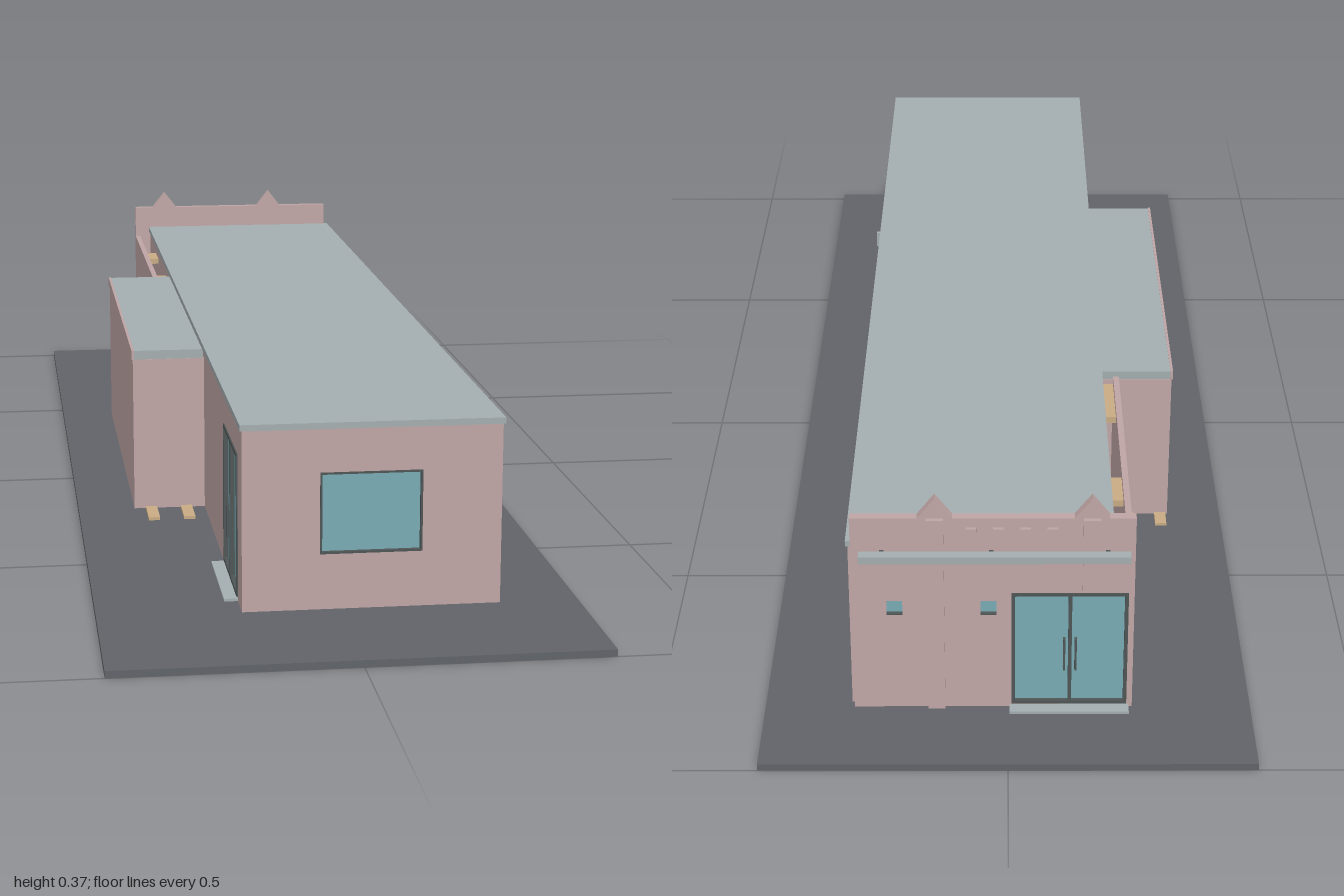
import * as THREE from 'three';

const mat = (name, color, extra = {}) => {
  const m = new THREE.MeshStandardMaterial({ color, ...extra });
  m.name = name;
  return m;
};

export function createModel() {
  const model = new THREE.Group();
  model.name = 'longBuilding';
  const wall = mat('pinkWall', 0xbfa5a5);
  const roof = mat('greyRoof', 0xa3adaf);
  const ground = mat('darkGround', 0x606368);
  const glass = mat('blueGlass', 0x78aab4);
  const frame = mat('darkFrame', 0x4e5555);
  const lintel = mat('brownLintel', 0x8f6a50);
  const tan = mat('tanTimber', 0xc8ab84);

  const box = (name, m, x0, x1, y0, y1, z0, z1) => {
    const mesh = new THREE.Mesh(new THREE.BoxGeometry(x1 - x0, y1 - y0, z1 - z0), m);
    mesh.position.set((x0 + x1) / 2, (y0 + y1) / 2, (z0 + z1) / 2);
    mesh.name = name;
    model.add(mesh);
    return mesh;
  };

  // Flat wall with rectangular openings [u0, u1, v0, v1]
  const panel = (name, outline, holes, depth) => {
    const shape = new THREE.Shape(outline.map(p => new THREE.Vector2(...p)));
    for (const [a, b, c, d] of holes) {
      shape.holes.push(new THREE.Path([[a, c], [a, d], [b, d], [b, c]].map(p => new THREE.Vector2(...p))));
    }
    const mesh = new THREE.Mesh(new THREE.ExtrudeGeometry(shape, { depth, bevelEnabled: false }), wall);
    mesh.name = name;
    model.add(mesh);
    return mesh;
  };
  const rect = (a, b, c, d) => [[a, c], [b, c], [b, d], [a, d]];

  const Y0 = 0.026, EAVE = 0.285;

  // Ground slab, floor and main roof
  box('ground', ground, -0.345, 0.345, 0, 0.01, -1, 1);
  box('floor', wall, -0.144, 0.219, Y0, 0.029, -0.875, 0.829);
  box('mainRoof', roof, -0.148, 0.223, EAVE, 0.294, -0.878, 0.832);

  // Right wall with seven recessed windows
  const windows = [[0.63, 0.77], [0.345, 0.51], [0.13, 0.265], [-0.11, 0.03],
    [-0.35, -0.22], [-0.585, -0.45], [-0.84, -0.71]];
  const right = panel('rightWall', rect(-0.875, 0.83, Y0, EAVE),
    windows.map(([a, b]) => [a, b, 0.1, 0.23]), 0.012);
  right.rotation.y = -Math.PI / 2;
  right.position.x = 0.22;
  for (const [a, b] of windows) {
    box('sideGlass', glass, 0.21, 0.215, 0.1, 0.23, a, b);
    box('windowLintel', lintel, 0.215, 0.221, 0.226, 0.231, a, b);
  }
  box('wallLamp', roof, 0.22, 0.232, 0.245, 0.27, 0.212, 0.22);

  // Front wall and framed window
  const front = panel('frontWall', rect(-0.145, 0.22, Y0, EAVE), [[-0.036, 0.108, 0.106, 0.223]], 0.012);
  front.position.z = 0.818;
  box('frontGlass', glass, -0.036, 0.108, 0.106, 0.223, 0.82, 0.825);
  for (const x of [-0.036, 0.105]) box('frontFrameSide', frame, x, x + 0.003, 0.106, 0.223, 0.825, 0.831);
  for (const y of [0.106, 0.22]) box('frontFrameRail', frame, -0.036, 0.108, y, y + 0.003, 0.825, 0.831);

  // Left wall with glazed double door and threshold
  const left = panel('leftWall', rect(-0.875, 0.83, Y0, EAVE), [[0.6, 0.78, 0.032, 0.24]], 0.012);
  left.rotation.y = -Math.PI / 2;
  left.position.x = -0.133;
  box('sideDoorGlass', glass, -0.14, -0.136, 0.032, 0.24, 0.6, 0.78);
  for (const z of [0.6, 0.687, 0.774]) box('sideDoorPost', frame, -0.147, -0.139, 0.032, 0.24, z, z + 0.006);
  for (const y of [0.032, 0.235]) box('sideDoorRail', frame, -0.147, -0.139, y, y + 0.005, 0.6, 0.78);
  box('sideDoorHandle', frame, -0.151, -0.147, 0.09, 0.14, 0.68, 0.684);
  box('sideThreshold', roof, -0.165, -0.145, Y0, 0.03, 0.6, 0.78);

  // Side extension with grey flat roof
  box('extensionWalls', wall, -0.258, -0.145, Y0, 0.27, -0.355, 0.29);
  box('extensionRoof', roof, -0.258, -0.146, 0.27, 0.284, -0.354, 0.289);
  box('extensionEdge', wall, -0.26, -0.256, 0.27, 0.285, -0.355, 0.291);

  // Outer rear side wall with timbers in the gap, and timbers at the extension foot
  box('rearSideWall', wall, -0.175, -0.166, Y0, 0.275, -0.875, -0.355);
  for (const [a, b] of [[-0.72, -0.655], [-0.47, -0.36]]) box('gapTimber', tan, -0.166, -0.145, 0.255, 0.265, a, b);
  for (const x of [-0.24, -0.184]) box('frontFootTimber', tan, x, x + 0.018, 0.024, 0.029, 0.28, 0.355);
  for (const x of [-0.255, -0.203]) box('rearFootTimber', tan, x, x + 0.018, 0.024, 0.029, -0.39, -0.345);

  // Rear facade with parapet and two pointed peaks
  const peaks = [0.1, -0.115];
  const outline = [[-0.175, Y0], [0.216, Y0], [0.216, 0.334]];
  for (const x of peaks) outline.push([x + 0.024, 0.334], [x, 0.365], [x - 0.024, 0.334]);
  outline.push([-0.175, 0.334]);
  const portholes = [[0.146, 0.168, 0.18, 0.202], [0.016, 0.038, 0.18, 0.202]];
  const door = [-0.167, -0.005, 0.032, 0.215];
  const rear = panel('rearFacade', outline, [door, ...portholes], 0.014);
  rear.position.z = -0.886;
  for (const [a, b, c, d] of [door, ...portholes]) box('rearGlass', glass, a, b, c, d, -0.882, -0.878);
  for (const [a, b, c, d] of portholes) box('smallWindowSill', frame, a, b, c, c + 0.002, -0.888, -0.882);
  for (const x of peaks) box('pilaster', wall, x - 0.012, x + 0.012, x > 0 ? Y0 : 0.22, 0.334, -0.892, -0.886);
  for (let i = 0; i < 4; i++) {
    const x = -0.068 + i * 0.037;
    box('parapetBlock', wall, x, x + 0.014, 0.293, 0.32, -0.891, -0.886);
  }

  // Rear double door and long canopy beam
  for (const x of [-0.167, -0.089, -0.01]) box('rearDoorPost', frame, x, x + 0.005, 0.032, 0.215, -0.888, -0.882);
  for (const y of [0.032, 0.21]) box('rearDoorRail', frame, -0.167, -0.005, y, y + 0.005, -0.888, -0.882);
  for (const x of [-0.096, -0.08]) box('rearDoorHandle', frame, x, x + 0.003, 0.09, 0.14, -0.891, -0.882);
  box('rearThreshold', roof, -0.17, -0.002, Y0, 0.03, -0.905, -0.884);
  box('canopyBeam', roof, -0.168, 0.204, 0.275, 0.286, -0.908, -0.893);
  for (const x of [-0.14, 0.02, 0.17]) box('canopyBracket', frame, x, x + 0.006, 0.277, 0.284, -0.894, -0.885);

  return model;
}
